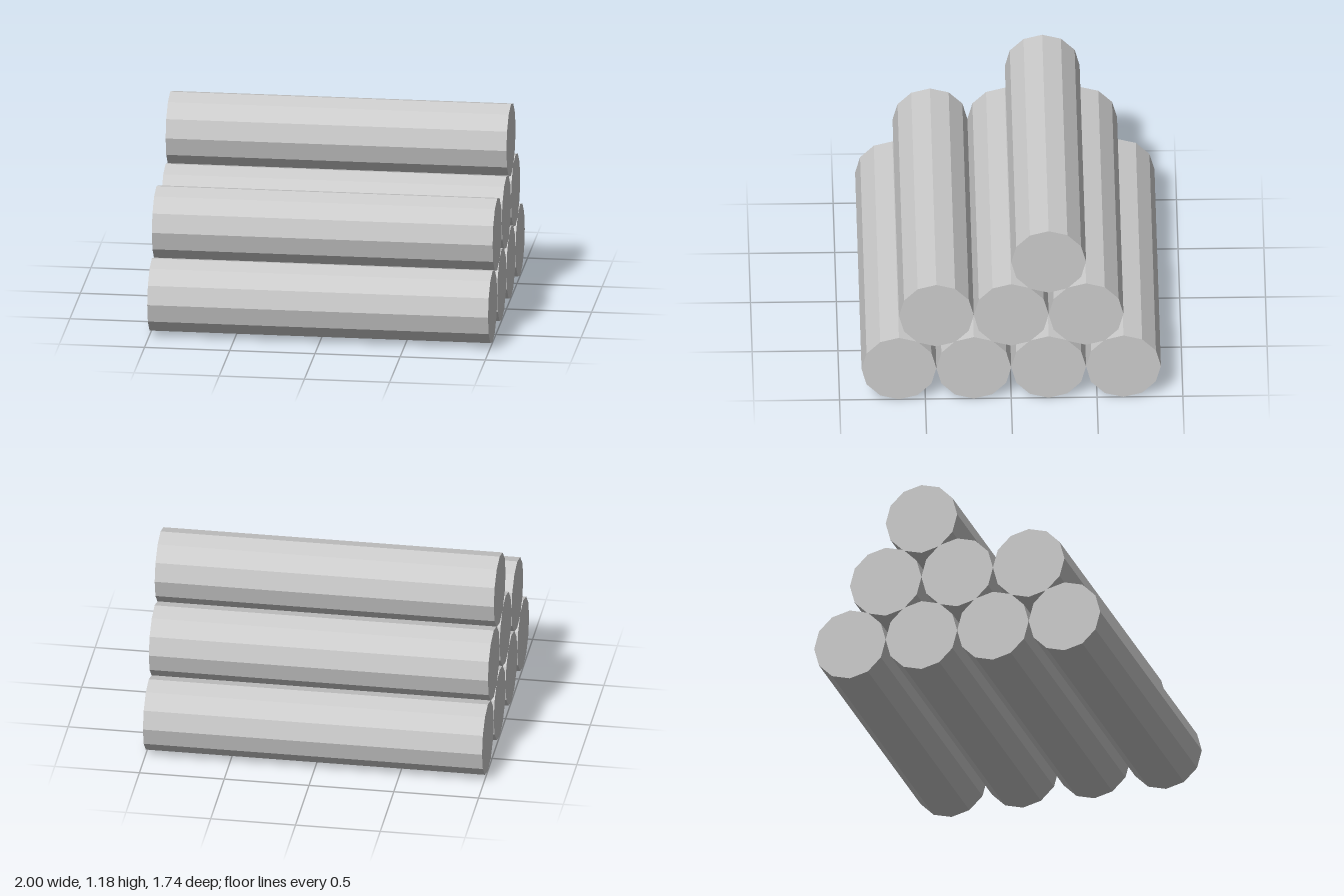
import * as THREE from 'three';

const RADIUS = 0.218;
const LENGTH = 2;
const ROW_RISE = 0.373;

// z centres of the logs in each row, bottom to top, in units of one radius
const ROWS = [
  [3, 1, -1, -3],
  [2, 0, -2],
  [-1],
];

export function createModel() {
  const group = new THREE.Group();
  group.name = 'logPile';

  const material = new THREE.MeshStandardMaterial({ color: 0xcccccc, flatShading: true });

  // twelve-sided log lying along x
  const logGeometry = new THREE.CylinderGeometry(RADIUS, RADIUS, LENGTH, 12);
  logGeometry.rotateZ(Math.PI / 2);

  ROWS.forEach((row, level) => {
    const rowGroup = new THREE.Group();
    rowGroup.name = ['bottomRow', 'middleRow', 'topRow'][level];
    rowGroup.position.y = RADIUS + level * ROW_RISE;
    row.forEach((step, i) => {
      const log = new THREE.Mesh(logGeometry, material);
      log.name = `log${i + 1}`;
      log.position.z = step * RADIUS;
      rowGroup.add(log);
    });
    group.add(rowGroup);
  });

  return group;
}
